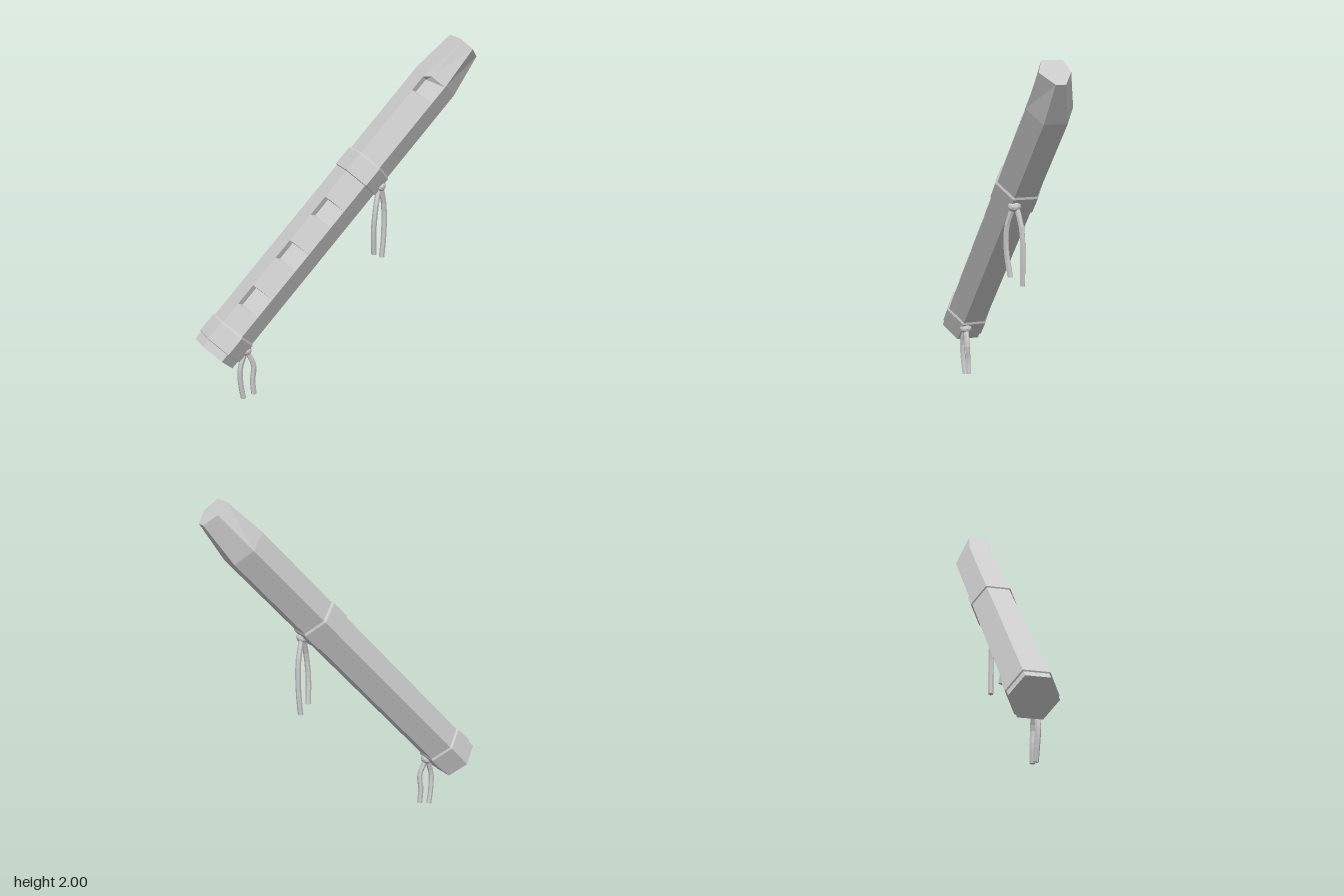
import * as THREE from 'three';

const material = new THREE.MeshStandardMaterial({ color: 0xcccccc, flatShading: true });

// Seven-point hexagonal section [y, z]; the third point lies on the front upper facet
// and is pushed inwards where a finger hole is cut.
function hexSection(r, notched = false) {
  const h = r * 0.866, q = r / 2, m = h * 0.72;
  return [
    [h, -q], [h, q],
    [m, notched ? q * 0.8 : r - q * 0.72],
    [0, r], [-h, q], [-h, -q], [0, -r],
  ];
}

// Closed flat-shaded loft along x through rings { x, pts }
function loft(name, rings) {
  const n = rings[0].pts.length;
  const pos = [], idx = [];
  for (const { x, pts } of rings) for (const [y, z] of pts) pos.push(x, y, z);
  for (let i = 0; i < rings.length - 1; i++) {
    for (let j = 0; j < n; j++) {
      const a = i * n + j, b = i * n + (j + 1) % n;
      idx.push(a, b, b + n, a, b + n, a + n);
    }
  }
  const last = (rings.length - 1) * n;
  for (let j = 1; j < n - 1; j++) {
    idx.push(0, j + 1, j);
    idx.push(last, last + j, last + j + 1);
  }
  const indexed = new THREE.BufferGeometry();
  indexed.setAttribute('position', new THREE.Float32BufferAttribute(pos, 3));
  indexed.setIndex(idx);
  const geo = indexed.toNonIndexed();
  geo.computeVertexNormals();
  const mesh = new THREE.Mesh(geo, material);
  mesh.name = name;
  return mesh;
}

// Hanging cord: a knot with two wavy strands
function tassel(name, knot, strands) {
  const group = new THREE.Group();
  group.name = name;
  const ball = new THREE.Mesh(new THREE.IcosahedronGeometry(0.034, 1), material);
  ball.name = 'knot';
  ball.scale.set(1, 0.95, 1.15);
  ball.position.set(...knot);
  group.add(ball);
  for (const points of strands) {
    const path = new THREE.CatmullRomCurve3(points.map(p => new THREE.Vector3(...p)));
    const strand = new THREE.Mesh(new THREE.TubeGeometry(path, 8, 0.016, 6), material);
    strand.name = 'strand';
    group.add(strand);
    // End cap facing down
    const cap = new THREE.Mesh(new THREE.CircleGeometry(0.016, 6), material);
    cap.name = 'strandEnd';
    cap.position.copy(path.getPoint(1));
    cap.quaternion.setFromUnitVectors(new THREE.Vector3(0, 0, 1), path.getTangent(1));
    group.add(cap);
  }
  return group;
}

export function createModel() {
  const model = new THREE.Group();
  model.name = 'leaningFlute';

  // Flute built along its own x axis, then tilted
  const flute = new THREE.Group();
  flute.name = 'flute';
  flute.position.set(-0.765, 0.291, 0);
  flute.rotation.z = THREE.MathUtils.degToRad(46.5);
  model.add(flute);

  // Body with finger holes and window: [start, end, end slope]
  const R = 0.135;
  const rings = [{ x: 0, pts: hexSection(R) }];
  const holes = [[0.31, 0.445, 0.003], [0.64, 0.77, 0.003], [0.955, 1.085, 0.003], [1.86, 1.99, 0.03]];
  for (const [start, end, slope] of holes) {
    rings.push(
      { x: start, pts: hexSection(R) },
      { x: start + 0.012, pts: hexSection(R, true) },
      { x: end - slope, pts: hexSection(R, true) },
      { x: end, pts: hexSection(R) },
    );
  }
  // Mouthpiece, bevelled underneath and at the back
  rings.push({ x: 2.005, pts: hexSection(R) });
  rings.push({
    x: 2.259,
    pts: [[0.101, -0.03], [0.101, 0.09], [0.077, 0.101], [0.014, 0.13], [-0.073, 0.062], [-0.073, 0.005], [0.014, -0.05]],
  });
  flute.add(loft('body', rings));

  // Raised bands with a bevelled upper edge
  const bands = [['footBand', 0.05, 0.18], ['middleBand', 1.272, 1.405]];
  for (const [name, start, end] of bands) {
    flute.add(loft(name, [
      { x: start, pts: hexSection(R) },
      { x: start + 0.003, pts: hexSection(0.144) },
      { x: end - 0.012, pts: hexSection(0.144) },
      { x: end, pts: hexSection(R) },
    ]));
  }

  // Cords hanging from the bands
  model.add(tassel('middleTassel', [0.243, 1.175, 0.05], [
    [[0.235, 1.17, 0.055], [0.205, 1.06, 0.08], [0.193, 0.92, 0.078], [0.205, 0.77, 0.06]],
    [[0.253, 1.17, 0.04], [0.283, 1.05, 0.022], [0.287, 0.88, 0.018], [0.276, 0.73, 0.015]],
  ]));
  model.add(tassel('footTassel', [-0.59, 0.3, 0.045], [
    [[-0.595, 0.29, 0.05], [-0.628, 0.2, 0.055], [-0.626, 0.1, 0.05], [-0.61, 0.005, 0.045]],
    [[-0.582, 0.29, 0.045], [-0.545, 0.2, 0.05], [-0.552, 0.11, 0.045], [-0.545, 0.02, 0.045]],
  ]));

  return model;
}
